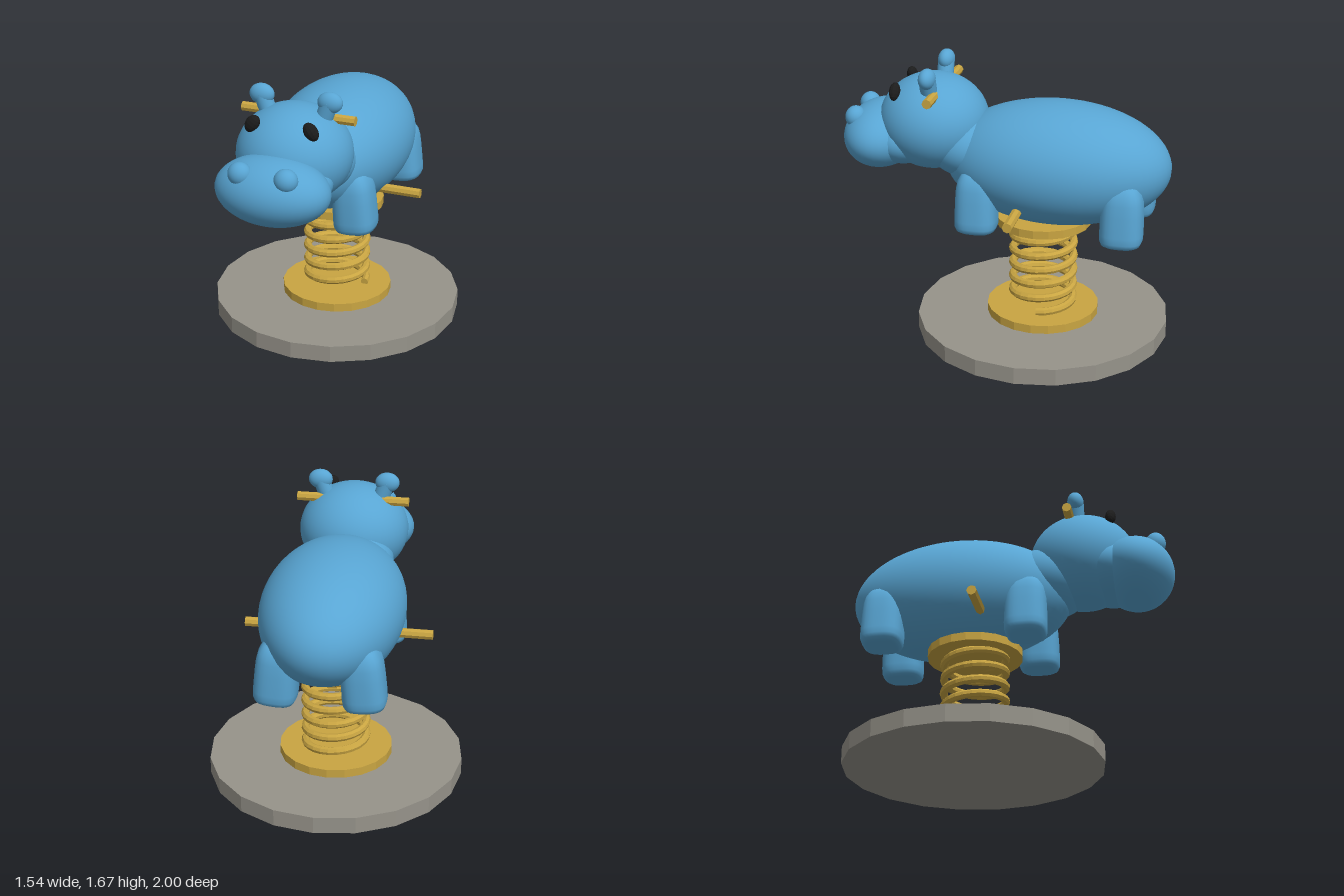
import * as THREE from 'three';
import { mergeVertices } from 'three/addons/utils/BufferGeometryUtils.js';

function material(name, color, flatShading = false) {
  const m = new THREE.MeshStandardMaterial({ color, flatShading });
  m.name = name;
  return m;
}

export function createModel() {
  const blue = material('blue skin', 0x58a5d3);
  const gold = material('golden metal', 0xc9a542, true);
  const grey = material('grey stone', 0x96938a, true);
  const black = material('black eye', 0x1c1c1c, true);

  const model = new THREE.Group();
  model.name = 'springRider';
  const axisZ = -0.23;

  function add(name, geometry, mat, x = 0, y = 0, z = 0, parent = model) {
    const mesh = new THREE.Mesh(geometry, mat);
    mesh.name = name;
    mesh.position.set(x, y, z);
    parent.add(mesh);
    return mesh;
  }

  function ellipsoid(name, mat, [x, y, z], [rx, ry, rz], w = 40, h = 28) {
    const geometry = new THREE.SphereGeometry(1, w, h).scale(rx, ry, rz);
    return add(name, geometry, mat, x, y, z);
  }

  // Ground slab and spring plates
  const disc = (name, mat, r, y0, y1) =>
    add(name, new THREE.CylinderGeometry(r, r, y1 - y0, 20), mat, 0, (y0 + y1) / 2, axisZ);
  disc('groundSlab', grey, 0.77, 0, 0.103);
  disc('lowerPlate', gold, 0.342, 0.103, 0.155);
  disc('upperPlate', gold, 0.288, 0.7, 0.75);

  // Coil spring with closed ends
  class Helix extends THREE.Curve {
    getPoint(t, target = new THREE.Vector3()) {
      const a = t * Math.PI * 2 * 6;
      return target.set(0.186 * Math.cos(a), 0.168 + 0.555 * t, -0.186 * Math.sin(a));
    }
  }
  const wire = 0.025;
  const spring = new THREE.Group();
  spring.name = 'spring';
  spring.position.z = axisZ;
  model.add(spring);
  add('coil', new THREE.TubeGeometry(new Helix(), 150, wire, 8), gold, 0, 0, 0, spring);
  add('coilStart', new THREE.CircleGeometry(wire, 8), gold, 0.186, 0.168, 0, spring);
  add('coilEnd', new THREE.CircleGeometry(wire, 8), gold, 0.186, 0.723, 0, spring).rotation.y = Math.PI;

  // Foot rest and hand grip bars
  function bar(name, halfLength, r, y, z) {
    const geometry = new THREE.CylinderGeometry(r, r, halfLength * 2, 8).rotateZ(Math.PI / 2);
    add(name, geometry, gold, 0, y, z);
  }
  bar('footRest', 0.565, 0.03, 0.88, -0.14);
  bar('handGrip', 0.342, 0.029, 1.5, 0.388);

  // Body, neck, head and muzzle
  ellipsoid('body', blue, [0, 1.09, -0.308], [0.42, 0.368, 0.68], 56, 36);
  ellipsoid('neck', blue, [0, 1.17, 0.23], [0.275, 0.205, 0.26]);
  ellipsoid('head', blue, [0, 1.29, 0.445], [0.335, 0.287, 0.33]);
  ellipsoid('muzzle', blue, [0, 1.185, 0.765], [0.335, 0.197, 0.23]);
  ellipsoid('jowl', blue, [0, 1.19, 0.62], [0.29, 0.17, 0.22]);

  // Stout leg: turned profile squared off into a rounded block
  const profile = [[0, 0], [0.06, 0], [0.092, 0.004], [0.113, 0.016], [0.123, 0.04], [0.125, 0.08],
    [0.122, 0.2], [0.118, 0.27], [0.108, 0.32], [0.085, 0.36], [0.05, 0.385], [0, 0.395]];
  let legGeometry = new THREE.LatheGeometry(profile.map(([r, y]) => new THREE.Vector2(r, y)), 32);
  const p = legGeometry.attributes.position;
  for (let i = 0; i < p.count; i++) {
    const x = p.getX(i), z = p.getZ(i);
    const r = Math.hypot(x, z);
    if (r < 1e-6) continue;
    const k = Math.pow(Math.abs(x / r) ** 3 + Math.abs(z / r) ** 3, -1 / 3);
    p.setXYZ(i, x * k, p.getY(i), z * k);
  }
  legGeometry.deleteAttribute('uv');
  legGeometry.deleteAttribute('normal');
  legGeometry = mergeVertices(legGeometry);
  legGeometry.computeVertexNormals();

  for (const side of [1, -1]) {
    const s = side > 0 ? 'left' : 'right';
    for (const [part, z] of [['FrontLeg', 0.122], ['RearLeg', -0.745]]) {
      add(s + part, legGeometry, blue, side * 0.258, 0.703, z).rotation.z = side * 0.08;
    }

    // Ear: round tip on a short stalk leaning outwards
    ellipsoid(s + 'EarTip', blue, [side * 0.205, 1.605, 0.425], [0.074, 0.061, 0.05], 24, 16);
    const stalk = new THREE.CylinderGeometry(0.05, 0.05, 0.13, 20);
    add(s + 'EarStalk', stalk, blue, side * 0.183, 1.55, 0.425).rotation.z = -side * 0.35;

    // Eye and nostril bump
    ellipsoid(s + 'Eye', black, [side * 0.174, 1.503, 0.633], [0.041, 0.056, 0.033], 12, 8)
      .rotation.z = side * 0.6;
    ellipsoid(s + 'Nostril', blue, [side * 0.135, 1.313, 0.895], [0.068, 0.067, 0.062], 24, 16);
  }
  return model;
}
